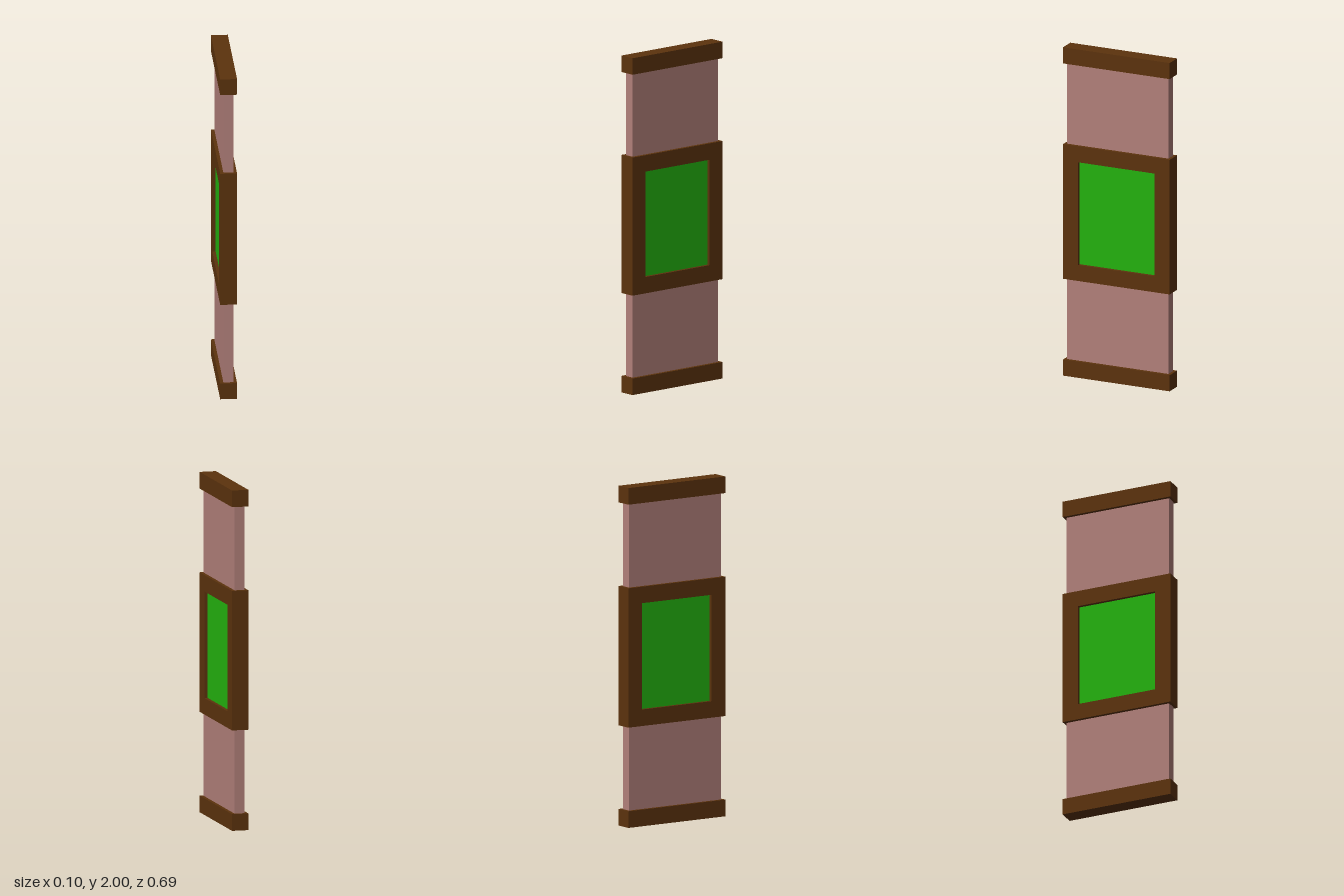
import * as THREE from 'three';

const wood = new THREE.MeshStandardMaterial({ name: 'brown wood', color: 0x5c330d });
const panelPink = new THREE.MeshStandardMaterial({ name: 'dusty pink panel', color: 0xb2807a });
const paneGreen = new THREE.MeshStandardMaterial({ name: 'green pane', color: 0x24b30f });

// Box spanning y0..y1, centred on x and z
function slab(name, material, width, y0, y1, depth) {
  const mesh = new THREE.Mesh(new THREE.BoxGeometry(width, y1 - y0, depth), material);
  mesh.position.y = (y0 + y1) / 2;
  mesh.name = name;
  return mesh;
}

function rectangle(target, halfW, halfH) {
  target.moveTo(-halfW, -halfH);
  target.lineTo(halfW, -halfH);
  target.lineTo(halfW, halfH);
  target.lineTo(-halfW, halfH);
  target.closePath();
  return target;
}

export function createModel() {
  const model = new THREE.Group();
  model.name = 'framedPanel';

  // End rails
  model.add(slab('bottomRail', wood, 0.098, 0, 0.098, 0.686));
  model.add(slab('topRail', wood, 0.098, 1.902, 2, 0.686));

  // Wall panels below and above the window
  model.add(slab('lowerPanel', panelPink, 0.059, 0.098, 0.593, 0.653));
  model.add(slab('upperPanel', panelPink, 0.059, 1.407, 1.902, 0.653));

  // Window frame with a rectangular opening
  const outline = rectangle(new THREE.Shape(), 0.343, 0.41);
  outline.holes.push(rectangle(new THREE.Path(), 0.245, 0.313));
  const frameGeometry = new THREE.ExtrudeGeometry(outline, { depth: 0.098, bevelEnabled: false });
  frameGeometry.translate(0, 0, -0.049).rotateY(Math.PI / 2);
  const frame = new THREE.Mesh(frameGeometry, wood);
  frame.position.y = 1;
  frame.name = 'windowFrame';
  model.add(frame);

  // Recessed pane
  model.add(slab('windowPane', paneGreen, 0.059, 0.687, 1.313, 0.49));

  return model;
}
